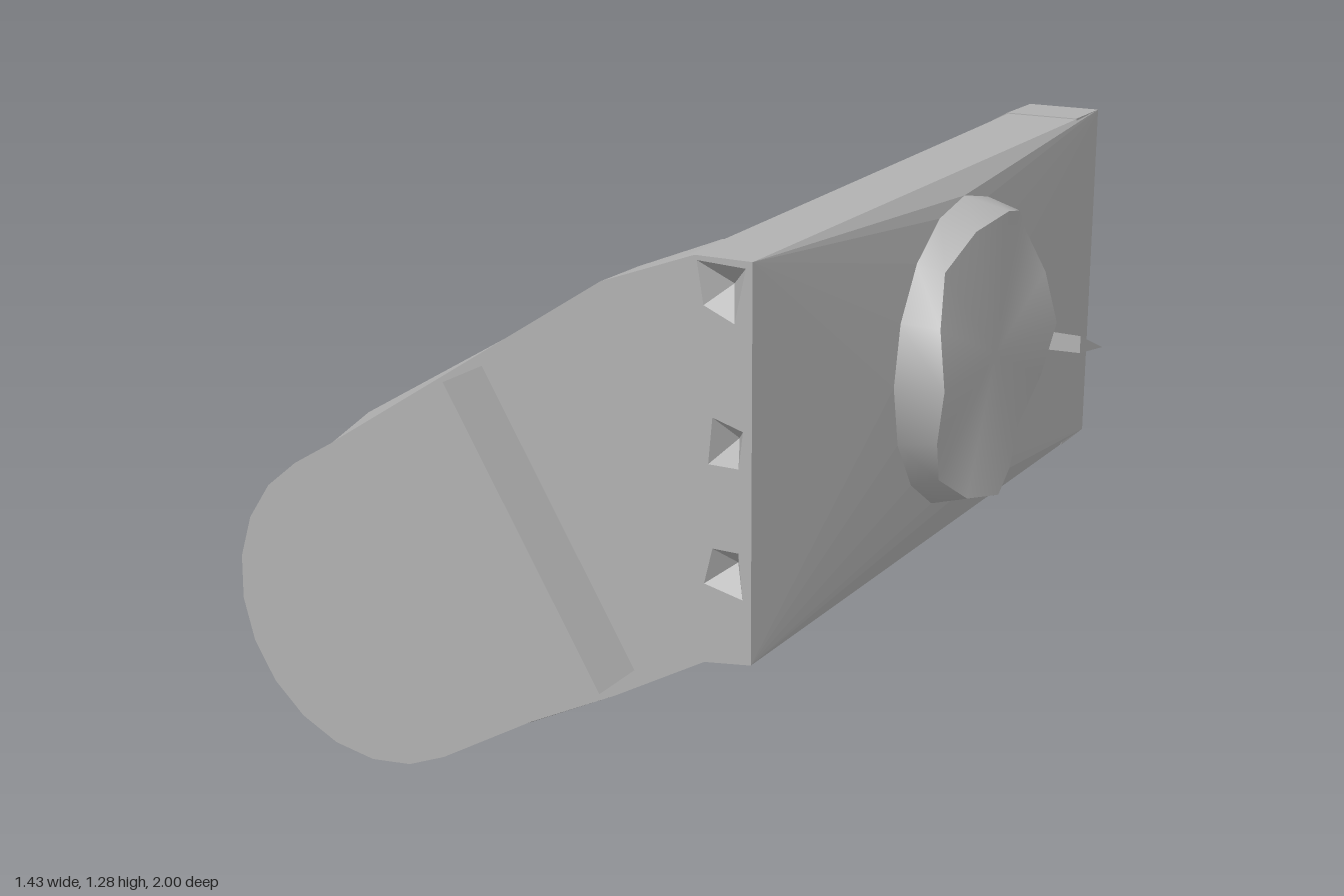
import * as THREE from 'three';
import { toCreasedNormals } from 'three/addons/utils/BufferGeometryUtils.js';

const V = (x, y, z) => new THREE.Vector3(x, y, z);
const HUB = [-0.32, 0.4]; // centre of the rounded arm end

// Geometry from a list of corner points, three per triangle
function fromTriangles(points, crease) {
  const g = new THREE.BufferGeometry().setFromPoints(points);
  g.computeVertexNormals();
  return crease ? toCreasedNormals(g, crease) : g;
}

// Solid between two matching outlines, with pyramid pits in the front or back face
function loft(back, zBack, front, zFront, pits = [], pitsOnFront = true) {
  const tris = [];
  const n = back.length;
  for (let i = 0; i < n; i++) {
    const j = (i + 1) % n;
    const a = V(...back[i], zBack), b = V(...back[j], zBack);
    const c = V(...front[j], zFront), d = V(...front[i], zFront);
    tris.push(a, b, c, a, c, d);
  }
  const cap = (outline, z, holes, isFront) => {
    const add = (a, b, c) => (isFront ? tris.push(a, b, c) : tris.push(a, c, b));
    const contour = outline.map((p) => new THREE.Vector2(...p));
    const rings = holes.map((h) => h.map((p) => new THREE.Vector2(...p)));
    const all = [...contour, ...rings.flat()].map((p) => V(p.x, p.y, z));
    THREE.ShapeUtils.triangulateShape(contour, rings).forEach((f) => add(...f.map((k) => all[k])));
    holes.forEach((h) => {
      const apex = V(0, 0, z + (isFront ? -0.06 : 0.06));
      h.forEach((p) => { apex.x += p[0] / h.length; apex.y += p[1] / h.length; });
      h.forEach((p, k) => add(V(...p, z), V(...h[(k + 1) % h.length], z), apex));
    });
  };
  cap(front, zFront, pitsOnFront ? pits : [], true);
  cap(back, zBack, pitsOnFront ? [] : pits, false);
  return fromTriangles(tris, 0.5);
}

// Half circle round the arm end, from its upper to its lower edge
function roundEnd(r) {
  return Array.from({ length: 12 }, (_, i) => {
    const a = THREE.MathUtils.degToRad(121 + (180 * i) / 11);
    return [HUB[0] + r * Math.cos(a), HUB[1] + r * Math.sin(a)];
  });
}

// Sloping arm outline, counter-clockwise
const armOutline = (r, right, top, shoulder) => [
  [right, 0.4], [right, top], [shoulder, top], [0.2, 1.17],
  ...roundEnd(r), [0.22, 0.26], [0.44, 0.385],
];

const padOutline = (r) => [[0.27, 0.33], [-0.1, 0.95], ...roundEnd(r)];

// Ring of points facing +x on the side plate
const CIRCLE = 16;
function circlePoint(i, r, x) {
  const a = (i / CIRCLE) * Math.PI * 2;
  return V(x, 0.855 + r * Math.sin(a), -0.07 - r * Math.cos(a));
}

// Side plate: swells from a rectangle to the round knob seat
function sidePlate() {
  const P = [V(0.55, 0.4, 0.86), V(0.58, 0.4, -1), V(0.58, 1.28, -1), V(0.55, 1.25, 0.86)];
  const Q = [V(0.41, 0.39, 0.86), V(0.39, 0.39, -1), V(0.39, 1.28, -1), V(0.41, 1.25, 0.86)];
  const tris = [];
  const quad = (a, b, c, d) => tris.push(a, b, c, a, c, d);
  const seat = (i) => circlePoint(i, 0.365, 0.6);
  for (let q = 0; q < 4; q++) {
    const corner = P[(q + 2) % 4], next = P[(q + 3) % 4];
    for (let i = q * 4; i < q * 4 + 4; i++) tris.push(corner, seat(i + 1), seat(i));
    tris.push(corner, next, seat(q * 4 + 4));
  }
  quad(P[1], P[0], Q[0], Q[1]); // underside
  quad(P[3], P[2], Q[2], Q[3]); // top
  quad(Q[0], Q[3], Q[2], Q[1]); // inner face
  return fromTriangles(tris);
}

// Knob with a four-lobed wavy face
function knob() {
  const tris = [];
  const centre = V(0.69, 0.855, -0.07);
  const base = (i) => circlePoint(i, 0.365, 0.6);
  const rim = (i) => circlePoint(i, 0.34, 0.685 + 0.025 * Math.cos((i / CIRCLE) * Math.PI * 8));
  for (let i = 0; i < CIRCLE; i++) {
    tris.push(base(i), base(i + 1), rim(i + 1), base(i), rim(i + 1), rim(i));
    tris.push(centre, rim(i), rim(i + 1));
  }
  return fromTriangles(tris, 0.5);
}

export function createModel() {
  const group = new THREE.Group();
  const grey = new THREE.MeshStandardMaterial({ color: 0xb0b0b0 });
  grey.name = 'grey';
  const add = (name, geometry) => {
    const mesh = new THREE.Mesh(geometry, grey);
    mesh.name = name;
    group.add(mesh);
    return mesh;
  };

  // Front arm with three pits along its edge, and its raised pad
  const edgePits = [
    [[0.44, 1.15], [0.51, 1.12], [0.535, 1.235], [0.425, 1.24]],
    [[0.45, 0.82], [0.52, 0.82], [0.53, 0.9], [0.46, 0.92]],
    [[0.44, 0.56], [0.53, 0.54], [0.52, 0.64], [0.46, 0.64]],
  ];
  add('frontArm', loft(armOutline(0.4, 0.55, 1.25, 0.4), 0.71,
    armOutline(0.37, 0.55, 1.25, 0.42), 0.86, edgePits));
  add('frontPad', loft(padOutline(0.35), 0.85, padOutline(0.36), 1));

  // Back arm with a ring of six pits outside and a round boss inside
  const ringPits = Array.from({ length: 6 }, (_, i) => {
    const a = (i * Math.PI) / 3;
    const x = HUB[0] + 0.305 * Math.cos(a), y = HUB[1] + 0.305 * Math.sin(a), s = 0.042;
    return [[x - s, y - s], [x + s, y - s], [x + s, y + s], [x - s, y + s]];
  });
  const backOutline = armOutline(0.395, 0.58, 1.28, 0.39);
  add('backArm', loft(backOutline, -1, backOutline, -0.84, ringPits, false));
  const boss = add('backBoss', new THREE.CylinderGeometry(0.4, 0.395, 0.08, 24));
  boss.rotation.x = Math.PI / 2;
  boss.position.set(...HUB, -0.81);

  add('sidePlate', sidePlate());
  add('knob', knob());

  // Small wedge-shaped catch beside the knob
  const catchMesh = add('catch', loft(
    [[0.66, 0.71], [0.88, 0.68], [0.66, 0.76]], 0.56,
    [[0.67, 0.71], [0.84, 0.685], [0.67, 0.755]], 0.68));
  catchMesh.rotation.y = Math.PI / 2;

  return group;
}
